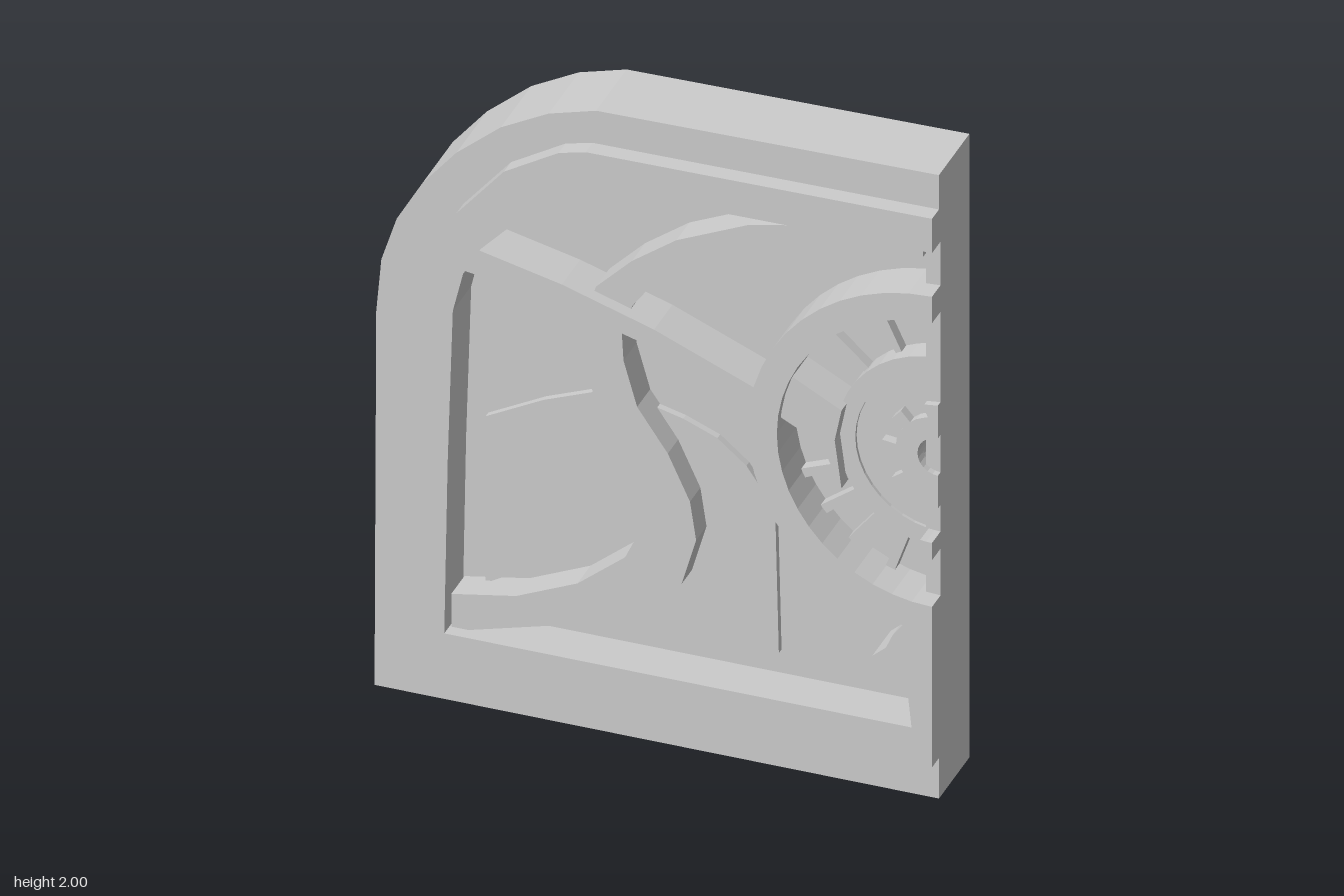
import * as THREE from 'three';

const material = new THREE.MeshStandardMaterial({ color: 0xcccccc, flatShading: true });
const RIGHT = 0.825, FLOOR = 0.005, TOP = 0.145;
const HUB = [RIGHT, 1.1];

export function createModel() {
  const group = new THREE.Group();

  // Flat outline pushed from depth z0 to z1
  function plate(name, pts, z0, z1) {
    const shape = new THREE.Shape(pts.map(p => new THREE.Vector2(p[0], p[1])));
    const geo = new THREE.ExtrudeGeometry(shape, { depth: z1 - z0, bevelEnabled: false });
    geo.translate(0, 0, z0);
    const mesh = new THREE.Mesh(geo, material);
    mesh.name = name;
    group.add(mesh);
  }

  // Point around the hub, angle in degrees
  const polar = (r, deg) => {
    const a = THREE.MathUtils.degToRad(deg);
    return [HUB[0] + r * Math.cos(a), HUB[1] + r * Math.sin(a)];
  };
  // Part of a ring between two angles
  function sector(r0, r1, a0, a1, n) {
    const outer = [], inner = [];
    for (let i = 0; i <= n; i++) {
      const a = a0 + (a1 - a0) * i / n;
      outer.push(polar(r1, a));
      inner.unshift(polar(r0, a));
    }
    return [...outer, ...inner];
  }

  // Backing slab with one rounded corner, and its border step
  const slabEdge = [
    [RIGHT, 0], [-0.83, 0], [-0.825, 1.2], [-0.81, 1.37], [-0.765, 1.51], [-0.69, 1.64],
    [-0.59, 1.76], [-0.46, 1.87], [-0.32, 1.945], [-0.18, 1.985], [RIGHT, 2]
  ];
  const frameOuter = [
    [RIGHT, 0.13], [-0.7, 0.13], [-0.695, 1.2], [-0.66, 1.41], [-0.57, 1.6],
    [-0.43, 1.765], [-0.27, 1.86], [-0.19, 1.88], [RIGHT, 1.89]
  ];
  plate('slab', slabEdge, -0.14, FLOOR);
  plate('slabRim', [...slabEdge, ...[...frameOuter].reverse()], FLOOR, 0.092);

  // Raised frame, open on the right, with an ornamented foot under the hub
  const frameInner = [
    [RIGHT, 1.78], [-0.12, 1.77], [-0.29, 1.685], [-0.4, 1.605], [-0.5, 1.5],
    [-0.55, 1.41], [-0.58, 1.285], [-0.595, 0.8], [-0.605, 0.245], [0.765, 0.245]
  ];
  const foot = [
    [0.755, 0.34], [0.715, 0.4], [0.65, 0.45], [0.69, 0.485], [0.71, 0.53], [0.74, 0.57], [RIGHT, 0.58]
  ];
  plate('frame', [...frameOuter, ...frameInner, ...foot], FLOOR, TOP);

  // Low lip closing the recess on the straight side
  plate('sideLip', [[0.783, 0.2], [RIGHT, 0.2], [RIGHT, 1.85], [0.783, 1.85]], FLOOR, 0.08);

  // Low leaf panels on either side of the stem
  plate('leftLeaf', [
    [-0.53, 0.355], [-0.53, 0.89], [-0.36, 0.98], [-0.17, 1.055],
    [-0.06, 0.88], [-0.03, 0.72], [-0.08, 0.6], [-0.27, 0.51]
  ], FLOOR, 0.026);
  plate('rightLeaf', [
    [-0.27, 0.315], [0.33, 0.32], [0.32, 0.75], [0.29, 0.82], [0.235, 0.9],
    [0.15, 0.97], [0.05, 1.01], [-0.03, 1.03], [0.09, 0.8], [0.07, 0.53]
  ], FLOOR, 0.026);

  // Winding stem, showing very slightly on the back
  const stemLeft = [
    [0.783, 1.785], [0.48, 1.77], [0.27, 1.725], [0.06, 1.63], [-0.07, 1.535], [-0.175, 1.43],
    [-0.215, 1.32], [-0.215, 1.2], [-0.18, 1.07], [-0.07, 0.89], [-0.035, 0.78],
    [-0.035, 0.7], [-0.09, 0.58], [-0.23, 0.465], [-0.41, 0.385], [-0.6, 0.35]
  ];
  const stemRight = [
    [-0.6, 0.245], [-0.55, 0.245], [-0.28, 0.32], [-0.12, 0.4], [0.075, 0.53], [0.118, 0.68],
    [0.1, 0.8], [0.035, 0.94], [-0.055, 1.07], [-0.095, 1.21], [-0.1, 1.3], [-0.07, 1.39],
    [0.01, 1.5], [0.14, 1.59], [0.27, 1.66], [0.43, 1.71], [0.58, 1.73], [0.783, 1.735]
  ];
  plate('stem', [...stemLeft, ...stemRight], -0.143, 0.105);

  // Curved arm from the frame to the hub ring, carried on to the hub
  plate('arm', [
    [-0.52, 1.5], [-0.26, 1.44], [0.01, 1.355], [0.3, 1.235], [0.37, 1.2], [0.35, 1.14],
    [0.28, 1.175], [0.01, 1.295], [-0.29, 1.38], [-0.57, 1.425]
  ], FLOOR, TOP);
  plate('hubArm', [
    [0.39, 1.285], [0.55, 1.2], [0.53, 1.1], [0.55, 0.95], [0.5, 1.06], [0.44, 1.105], [0.36, 1.145]
  ], FLOOR, 0.12);

  // Half hub: tall outer ring, lower inner ring and disc, raised bottom stop
  plate('hubRing', sector(0.455, 0.54, 90, 270, 24), FLOOR, TOP);
  plate('hubInnerRing', sector(0.25, 0.305, 90, 270, 20), FLOOR, 0.08);
  plate('hubStop', sector(0.25, 0.305, 262, 270, 2), FLOOR, TOP);
  plate('hubDisc', sector(0.06, 0.255, 90, 270, 16), FLOOR, 0.07);

  // Thin low spokes between the rings
  for (const a of [117, 140, 203, 218, 233, 249]) {
    plate('spoke', sector(0.295, 0.465, a - 1.8, a + 1.8, 1), FLOOR, 0.04);
  }

  // Half gear with square teeth and a central bore
  plate('gear', sector(0.06, 0.125, 90, 270, 12), 0.06, 0.1);
  for (const a of [97, 138, 180, 222, 263]) {
    plate('gearTooth', sector(0.115, 0.165, a - 7, a + 7, 1), 0.06, 0.1);
  }

  return group;
}
